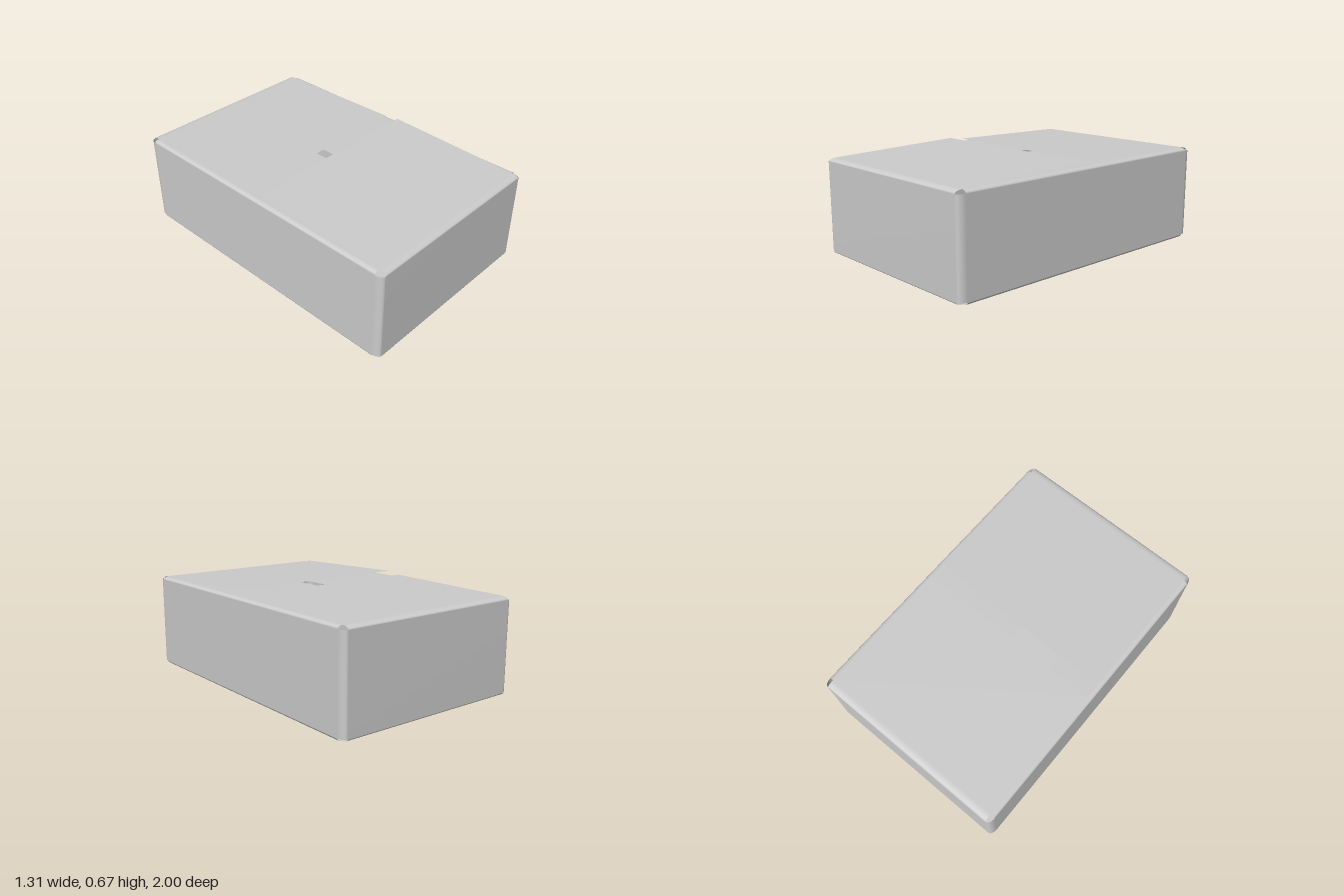
import * as THREE from 'three';

const material = new THREE.MeshStandardMaterial({ color: 0xcccccc, side: THREE.DoubleSide });
const RX = 0.03, RZ = 0.05, RY = 0.02; // fold radii along x, z and y
const HALF_X = 0.655, HALF_Z = 1;
const WALL_LOW = 0.034, WALL_HIGH = 0.615;

// Sheet folded over the box: top flap, hinge, wall, hinge, bottom flap.
// Flap ends are [distance from the centre plane, height].
function foldedPanel(name, angle, reach, radius, halfWidth, yTop, yBottom, topEnd, bottomEnd) {
  const profile = [topEnd];
  const steps = 8;
  const inner = reach - radius;
  for (let i = 0; i <= steps; i++) {
    const t = (i / steps) * Math.PI / 2;
    profile.push([inner + radius * Math.sin(t), WALL_HIGH + (yTop - WALL_HIGH) * Math.cos(t)]);
  }
  for (let i = 0; i <= steps; i++) {
    const t = (i / steps) * Math.PI / 2;
    profile.push([inner + radius * Math.cos(t), WALL_LOW - (WALL_LOW - yBottom) * Math.sin(t)]);
  }
  profile.push(bottomEnd);

  const geometry = new THREE.PlaneGeometry(2 * halfWidth, 1, 1, profile.length - 1);
  const position = geometry.attributes.position;
  profile.forEach(([u, y], row) => {
    for (let k = 0; k < 2; k++) {
      position.setY(row * 2 + k, y);
      position.setZ(row * 2 + k, u);
    }
  });
  geometry.computeVertexNormals();
  const mesh = new THREE.Mesh(geometry, material);
  mesh.name = name;
  mesh.rotation.y = angle;
  return mesh;
}

export function createModel() {
  const box = new THREE.Group();
  box.name = 'cartonBox';
  const top = WALL_HIGH + RY;

  // Front and back panels: outer flaps on top, inner flaps below
  const w = HALF_X - RX;
  box.add(foldedPanel('frontPanel', 0, HALF_Z, RZ, w, top, 0.016, [0.045, 0.665], [0.05, 0.016]));
  box.add(foldedPanel('backPanel', Math.PI, HALF_Z, RZ, w, top, 0.016, [0.055, 0.65], [0.05, 0.016]));

  // Side panels: inner flaps on top, outer flaps below
  const d = HALF_Z - RZ;
  box.add(foldedPanel('leftPanel', Math.PI / 2, HALF_X, RX, d, top - 0.002, 0.014, [0.03, top - 0.002], [0.02, 0]));
  box.add(foldedPanel('rightPanel', -Math.PI / 2, HALF_X, RX, d, top - 0.002, 0.014, [0.037, top - 0.002], [0.01, 0.006]));

  // Rounded vertical corners, left open above and below
  for (let i = 0; i < 4; i++) {
    const start = i * Math.PI / 2;
    const mid = start + Math.PI / 4;
    const corner = new THREE.Mesh(new THREE.CylinderGeometry(1, 1, 1, 8, 1, true, start, Math.PI / 2), material);
    corner.name = 'corner' + (i + 1);
    corner.scale.set(RX, WALL_HIGH - WALL_LOW, RZ);
    corner.position.set(Math.sign(Math.sin(mid)) * w, (WALL_HIGH + WALL_LOW) / 2, Math.sign(Math.cos(mid)) * d);
    box.add(corner);
  }
  return box;
}
